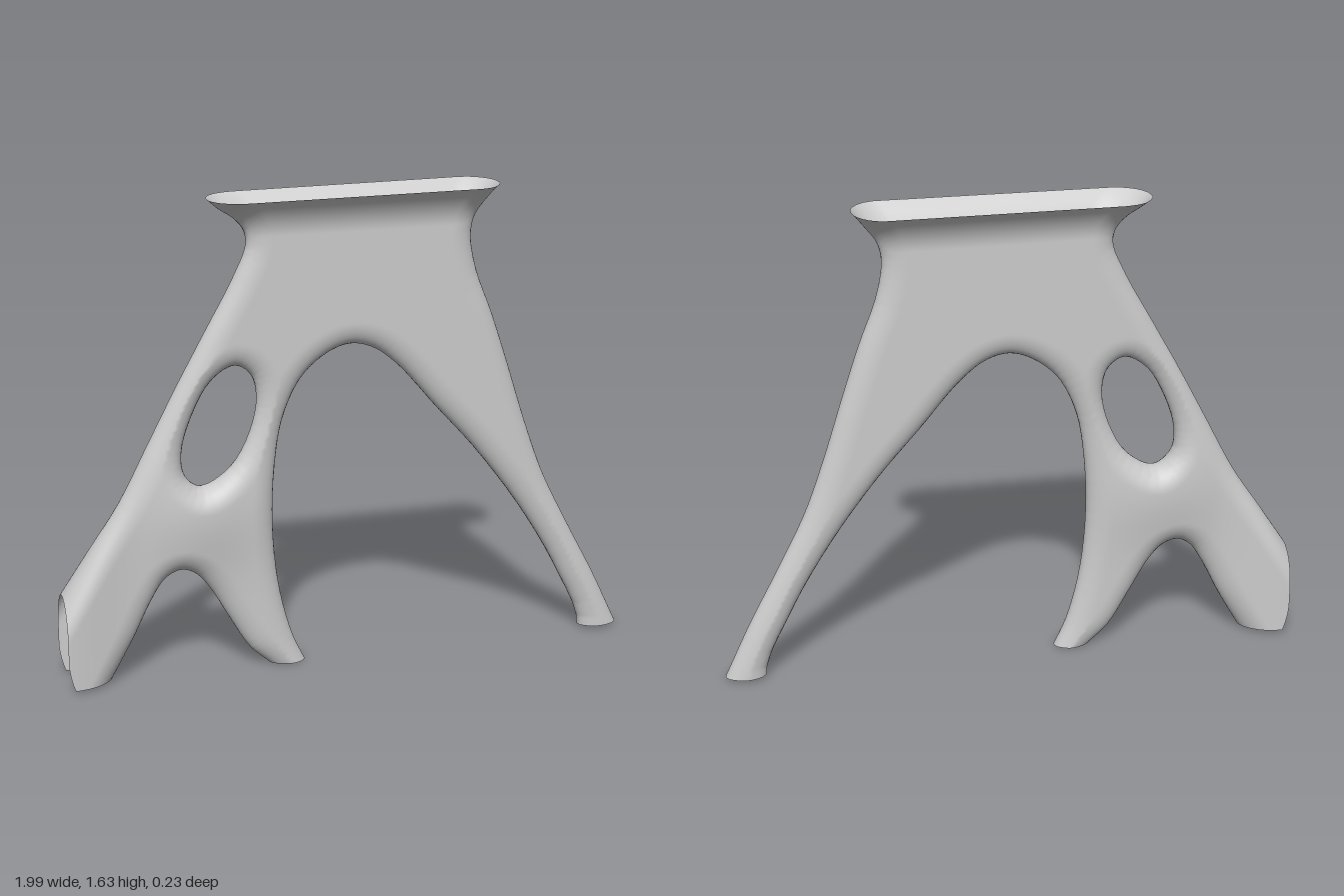
import * as THREE from 'three';

// Silhouette: runs of the outline (open limbs run past their cut planes)
const OUTER_RIGHT = [[0.6, 1.72], [0.515, 1.63], [0.47, 1.575], [0.435, 1.525], [0.42, 1.46], [0.44, 1.34], [0.5, 1.18],
  [0.56, 1.0], [0.63, 0.78], [0.7, 0.59], [0.8, 0.39], [0.9, 0.2], [0.995, 0], [1.07, -0.15]];
const ARCH = [[0.77, -0.15], [0.85, 0], [0.76, 0.23], [0.62, 0.47], [0.45, 0.7], [0.3, 0.87], [0.17, 1.02], [0.08, 1.09],
  [0, 1.11], [-0.08, 1.085], [-0.17, 1.01], [-0.235, 0.88], [-0.265, 0.72], [-0.275, 0.5], [-0.255, 0.28], [-0.21, 0.1],
  [-0.165, 0], [-0.09, -0.15]];
const SMALL_ARCH = [[-0.16, -0.15], [-0.23, -0.06], [-0.29, 0], [-0.36, 0.065], [-0.43, 0.18], [-0.5, 0.3], [-0.55, 0.355],
  [-0.6, 0.37], [-0.65, 0.345], [-0.7, 0.27], [-0.76, 0.15], [-0.84, 0.01], [-0.93, -0.15]];
const OUTER_LEFT = [[-1.3, -0.13], [-1.1, 0.17], [-1, 0.32], [-0.9, 0.47], [-0.8, 0.62], [-0.7, 0.81], [-0.6, 1.0],
  [-0.5, 1.18], [-0.4, 1.36], [-0.355, 1.47], [-0.365, 1.52], [-0.4, 1.56], [-0.445, 1.59], [-0.485, 1.625], [-0.59, 1.72]];
const HOLE = [[-0.4, 1.065], [-0.345, 1.03], [-0.325, 0.95], [-0.35, 0.83], [-0.42, 0.71], [-0.52, 0.655], [-0.575, 0.7],
  [-0.585, 0.78], [-0.55, 0.9], [-0.48, 1.02]];

function smooth(points, closed = false) {
  const curve = new THREE.CatmullRomCurve3(points.map(([x, y]) => new THREE.Vector3(x, y, 0)), closed, 'centripetal');
  return curve.getPoints(points.length * 4);
}
const outline = [OUTER_RIGHT, ARCH, SMALL_ARCH, OUTER_LEFT].flatMap(run => smooth(run));
const loops = [outline, smooth(HOLE, true)];

// Signed distance to the silhouette edge, positive inside
function edgeDistance(x, y) {
  let best = Infinity, inside = false;
  for (const loop of loops) {
    for (let i = 0, j = loop.length - 1; i < loop.length; j = i++) {
      const a = loop[j], b = loop[i], ex = b.x - a.x, ey = b.y - a.y;
      const t = Math.min(1, Math.max(0, ((x - a.x) * ex + (y - a.y) * ey) / (ex * ex + ey * ey || 1)));
      best = Math.min(best, (x - a.x - ex * t) ** 2 + (y - a.y - ey * t) ** 2);
      if ((a.y > y) !== (b.y > y) && x < a.x + ex * (y - a.y) / ey) inside = !inside;
    }
  }
  return Math.sqrt(best) * (inside ? 1 : -1);
}

// Half thickness: thin web, swollen junction, widening left foot, flared rim
function halfDepth(x, y) {
  const junction = 0.03 * Math.exp(-((x + 0.53) ** 2 + (y - 0.57) ** 2) / 0.035);
  const foot = 0.05 * THREE.MathUtils.smoothstep(-x, 0.72, 1.03);
  const rim = 0.068 * (Math.max(0, y - 1.5) / 0.13) ** 2;
  return 0.048 + junction + foot + rim;
}

const EDGE = 0.08; // rounding width along the silhouette
function fieldAt(d, x, y, z) {
  return (z / halfDepth(x, y)) ** 2 + (1 - Math.min(d / EDGE, 1)) ** 2 - 1;
}
const field = p => fieldAt(edgeDistance(p.x, p.y), p.x, p.y, p.z);

function gradient(p) {
  const e = 0.002, g = new THREE.Vector3(), q = p.clone();
  for (const axis of ['x', 'y', 'z']) {
    q[axis] = p[axis] + e;
    const hi = field(q);
    q[axis] = p[axis] - e;
    g[axis] = (hi - field(q)) / (2 * e);
    q[axis] = p[axis];
  }
  return g;
}

// Cut planes of the open ends
const floorAt = x => (x > -0.5 && x < 0.3 ? 0 : 0.01);
const topAt = x => 1.627 + 0.006 * x;
const leftAt = y => -1 + 0.025 * Math.max(0, 1 - y / 0.12) ** 2;
const isCut = p => p.y < floorAt(p.x) || p.y > topAt(p.x) || p.x < leftAt(p.y);
function clampToCuts(p) {
  p.y = Math.min(topAt(p.x), Math.max(floorAt(p.x), p.y));
  p.x = Math.max(leftAt(p.y), p.x);
}

// Skin the field: one vertex per crossed cell, one quad per crossed grid edge
function buildSkin() {
  const h = 0.0125, origin = [-1.056, -0.031, -0.1502], size = [170, 138, 25];
  const [nx, ny, nz] = size, strides = [1, nx, nx * ny];
  const values = new Float32Array(nx * ny * nz);
  const at = (i, axis) => origin[axis] + i * h;
  for (let j = 0; j < ny; j++) for (let i = 0; i < nx; i++) {
    const x = at(i, 0), y = at(j, 1), d = edgeDistance(x, y);
    for (let k = 0; k < nz; k++) values[i + j * nx + k * nx * ny] = fieldAt(d, x, y, at(k, 2));
  }

  const positions = [], normals = [], cut = [], cellVertex = new Map(), index = [];
  function vertexOf(cell) {
    if (cellVertex.has(cell)) return cellVertex.get(cell);
    const i = cell % nx, j = Math.floor(cell / nx) % ny, k = Math.floor(cell / (nx * ny));
    const p = new THREE.Vector3(at(i + 0.5, 0), at(j + 0.5, 1), at(k + 0.5, 2));
    const settle = () => {
      const g = gradient(p);
      p.addScaledVector(g.multiplyScalar(-field(p) / (g.lengthSq() + 1e-6)).clampLength(0, h * 0.6), 1);
    };
    for (let n = 0; n < 4; n++) settle();
    const out = isCut(p);
    if (out) {
      for (let n = 0; n < 3; n++) { clampToCuts(p); settle(); }
      clampToCuts(p);
    }
    const id = cut.length;
    cut.push(out);
    positions.push(p.x, p.y, p.z);
    normals.push(...gradient(p).normalize().toArray());
    cellVertex.set(cell, id);
    return id;
  }

  for (let k = 1; k < nz - 1; k++) for (let j = 1; j < ny - 1; j++) for (let i = 1; i < nx - 1; i++) {
    const c = i + j * nx + k * nx * ny;
    for (let axis = 0; axis < 3; axis++) {
      const inA = values[c] < 0, inB = values[c + strides[axis]] < 0;
      if (inA === inB) continue;
      const u = strides[(axis + 1) % 3], v = strides[(axis + 2) % 3];
      const quad = [c - u - v, c - v, c, c - u].map(vertexOf);
      if (quad.every(id => cut[id])) continue;
      if (!inA) quad.reverse();
      const [a, b, e, f] = quad;
      index.push(a, b, e, a, e, f);
    }
  }
  const geometry = new THREE.BufferGeometry();
  geometry.setAttribute('position', new THREE.Float32BufferAttribute(positions, 3));
  geometry.setAttribute('normal', new THREE.Float32BufferAttribute(normals, 3));
  geometry.setIndex(index);
  return geometry;
}

export function createModel() {
  const group = new THREE.Group();
  group.name = 'branchingSupport';
  // Hollow shell, open at the rim and feet
  const material = new THREE.MeshStandardMaterial({ color: 0xcccccc, side: THREE.DoubleSide });
  const shell = new THREE.Mesh(buildSkin(), material);
  shell.name = 'hollowLegsAndRim';
  group.add(shell);
  return group;
}
